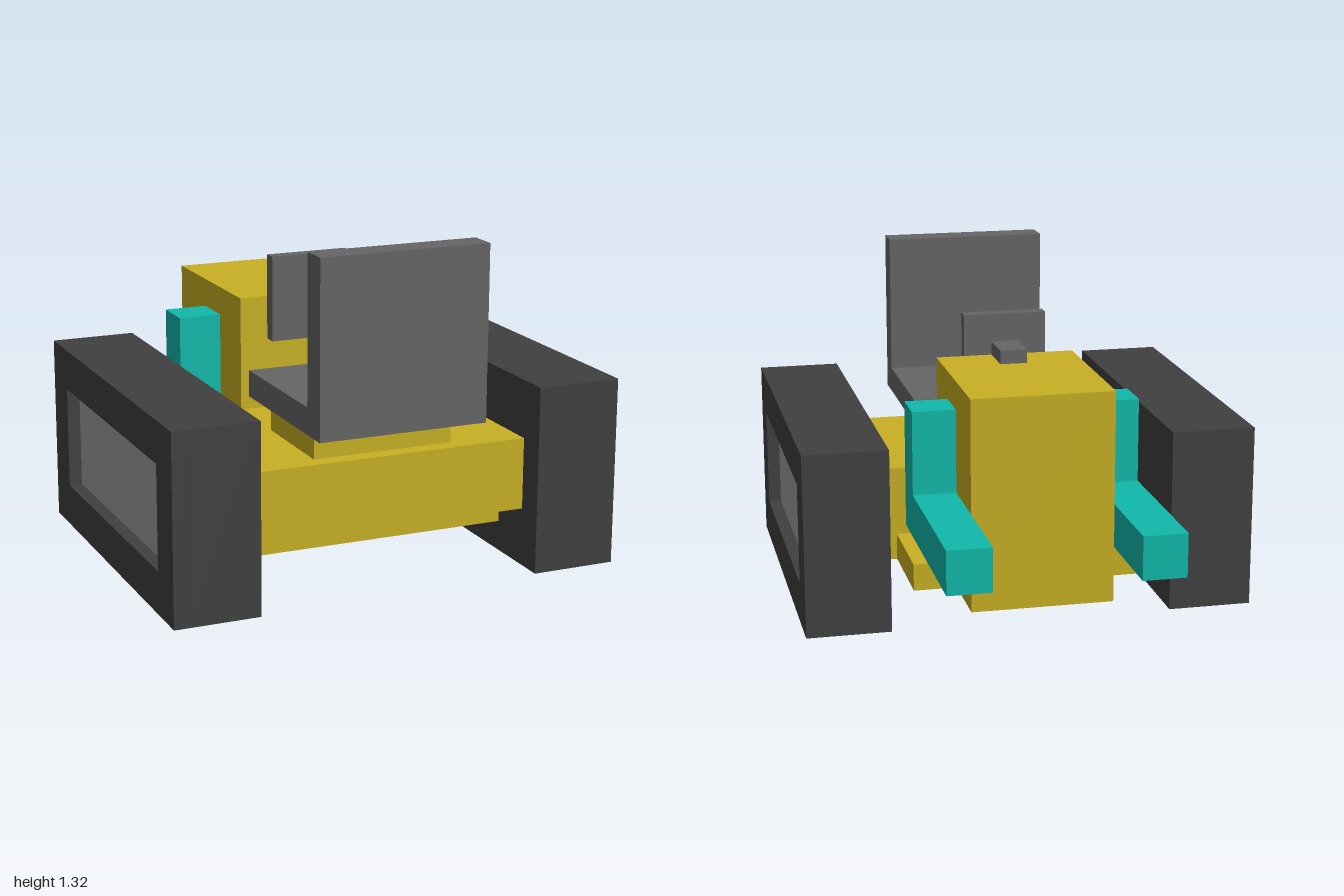
import * as THREE from 'three';

export function createModel() {
  const root = new THREE.Group();
  root.name = 'liftTruck';

  const mat = (name, color) => {
    const m = new THREE.MeshStandardMaterial({ color });
    m.name = name;
    return m;
  };
  const yellow = mat('yellow body', 0xc8b022);
  const teal = mat('teal lift', 0x0fb9ab);
  const dark = mat('dark track', 0x404040);
  const grey = mat('grey seat', 0x656565);
  const light = mat('light wheel panel', 0x9d9d9d);

  // Box given by its minimum and maximum on each axis
  const box = (name, material, [x0, x1], [y0, y1], [z0, z1], parent = root) => {
    const mesh = new THREE.Mesh(new THREE.BoxGeometry(x1 - x0, y1 - y0, z1 - z0), material);
    mesh.position.set((x0 + x1) / 2, (y0 + y1) / 2, (z0 + z1) / 2);
    mesh.name = name;
    parent.add(mesh);
  };

  // Body
  box('engineBlock', yellow, [-0.285, 0.285], [0.12, 0.975], [-0.6, 0.085]);
  box('chassis', yellow, [-0.57, 0.57], [0.23, 0.515], [0.085, 0.885]);
  box('underbody', yellow, [-0.57, 0.57], [0.12, 0.23], [0.085, 0.7]);
  box('sideStep', yellow, [-0.46, 0.46], [0.12, 0.23], [-0.31, 0.085]);
  box('seatPedestal', yellow, [-0.285, 0.285], [0.515, 0.635], [0.4, 0.82]);

  // Seat and controls
  box('seatCushion', grey, [-0.34, 0.34], [0.635, 0.74], [0.31, 0.885]);
  box('seatBack', grey, [-0.34, 0.34], [0.635, 1.32], [0.885, 1]);
  box('controlPanel', grey, [-0.17, 0.17], [0.8, 1.145], [0.085, 0.14]);
  box('controlMount', grey, [-0.055, 0.055], [0.975, 1.03], [-0.085, 0.085]);

  // Rectangle outline in the side plane (shape x runs along -z)
  const rect = (Type, z0, z1, y0, y1) => {
    const p = new Type();
    p.moveTo(-z1, y0);
    p.lineTo(-z0, y0);
    p.lineTo(-z0, y1);
    p.lineTo(-z1, y1);
    p.closePath();
    return p;
  };
  const recess = 0.06;
  const frameShape = rect(THREE.Shape, -0.43, 1, 0, 0.745);
  frameShape.holes.push(rect(THREE.Path, -0.26, 0.835, 0.17, 0.58));
  const frameGeometry = new THREE.ExtrudeGeometry(frameShape, { depth: recess, bevelEnabled: false });
  frameGeometry.rotateY(Math.PI / 2);

  // Tracks and lift arms on both sides
  for (const side of [1, -1]) {
    const label = side > 0 ? 'left' : 'right';
    const span = (a, b) => (side > 0 ? [a, b] : [-b, -a]);

    const track = new THREE.Group();
    track.name = label + 'Track';
    root.add(track);
    box('trackCore', dark, span(0.57, 0.91 - recess), [0, 0.745], [-0.43, 1], track);
    const frame = new THREE.Mesh(frameGeometry, dark);
    frame.name = 'trackFrame';
    frame.position.x = side > 0 ? 0.91 - recess : -0.91;
    track.add(frame);
    box('wheelPanel', light, span(0.91 - recess, 0.918 - recess), [0.17, 0.58], [-0.26, 0.835], track);
    box('innerPlate', grey, span(0.562, 0.57), [0.17, 0.35], [-0.38, -0.26], track);

    const lift = new THREE.Group();
    lift.name = label + 'Lift';
    root.add(lift);
    box('liftPost', teal, span(0.285, 0.46), [0.345, 0.86], [-0.315, -0.145], lift);
    box('liftFork', teal, span(0.285, 0.46), [0.345, 0.52], [-1, -0.315], lift);
  }
  return root;
}
